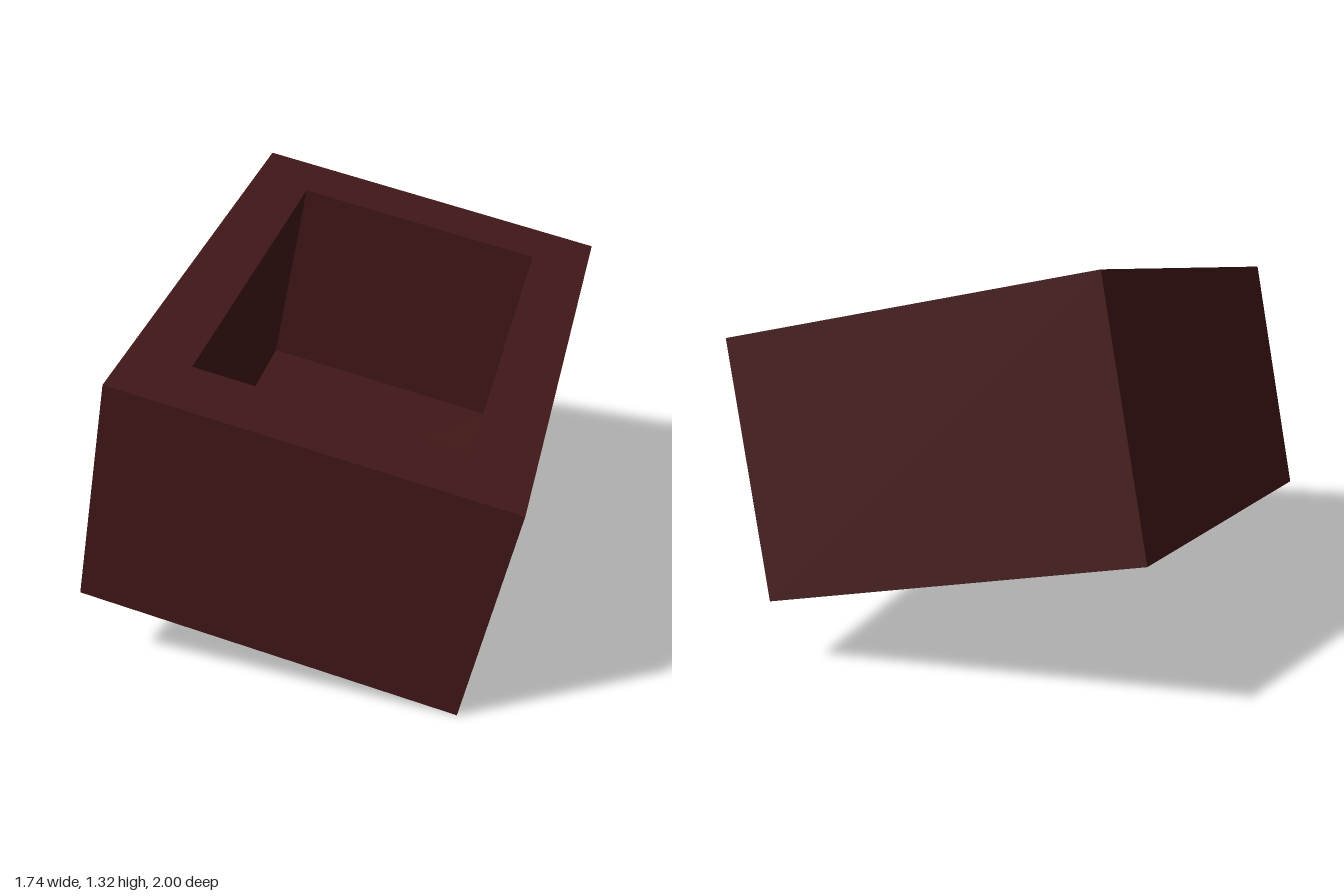
import * as THREE from 'three';

const W = 1.275, D = 1.705, H = 0.842;   // outer size
const BX = 0.2, BZ = 0.215;              // width of the top border
const FLOOR = 0.11, T = 0.022;           // cavity floor height, shell thickness

// Rectangle cross-section [half width, height, half depth] as four corners
const ring = ([x, y, z]) => [[-x, y, z], [x, y, z], [x, y, -z], [-x, y, -z]];

// Joins successive rectangles with flat faces and closes the last one
function loft(name, sections, color, flip = false) {
  const pos = [];
  const quad = (a, b, c, d) => {
    const q = flip ? [a, d, c, a, c, b] : [a, b, c, a, c, d];
    q.forEach((p) => pos.push(...p));
  };
  const rings = sections.map(ring);
  for (let s = 0; s < rings.length - 1; s++) {
    for (let i = 0; i < 4; i++) {
      const j = (i + 1) % 4;
      quad(rings[s][i], rings[s][j], rings[s + 1][j], rings[s + 1][i]);
    }
  }
  quad(...rings[rings.length - 1]);
  const geo = new THREE.BufferGeometry();
  geo.setAttribute('position', new THREE.Float32BufferAttribute(pos, 3));
  geo.computeVertexNormals();
  const mesh = new THREE.Mesh(geo, new THREE.MeshStandardMaterial({ color }));
  mesh.name = name;
  return mesh;
}

export function createModel() {
  const w = W / 2, d = D / 2, h = H / 2;
  const cw = w - BX, cd = d - BZ;

  const planter = new THREE.Group();
  planter.name = 'planterBox';

  // Outer walls, top border, cavity walls and cavity floor
  planter.add(loft('outerShell', [
    [w, -h, d], [w, h, d], [cw, h, cd], [cw, FLOOR - h, cd],
  ], 0x431818));

  // Bottom rim, hollow underside and the underside of the cavity
  planter.add(loft('hollowUnderside', [
    [w, -h, d], [w - T, -h, d - T], [w - T, h - T, d - T],
    [cw + T, h - T, cd + T], [cw + T, FLOOR - T - h, cd + T],
  ], 0xcccccc, true));

  // Tilted pose, resting on one bottom corner
  const X = new THREE.Vector3(0.951, -0.224, -0.212).normalize();
  const Y = new THREE.Vector3(0.189, -0.13, 0.973).cross(X).normalize();
  const Z = new THREE.Vector3().crossVectors(X, Y);
  planter.quaternion.setFromRotationMatrix(new THREE.Matrix4().makeBasis(X, Y, Z));
  planter.position.y = 0.66;

  const model = new THREE.Group();
  model.name = 'tiltedPlanter';
  model.add(planter);
  return model;
}
